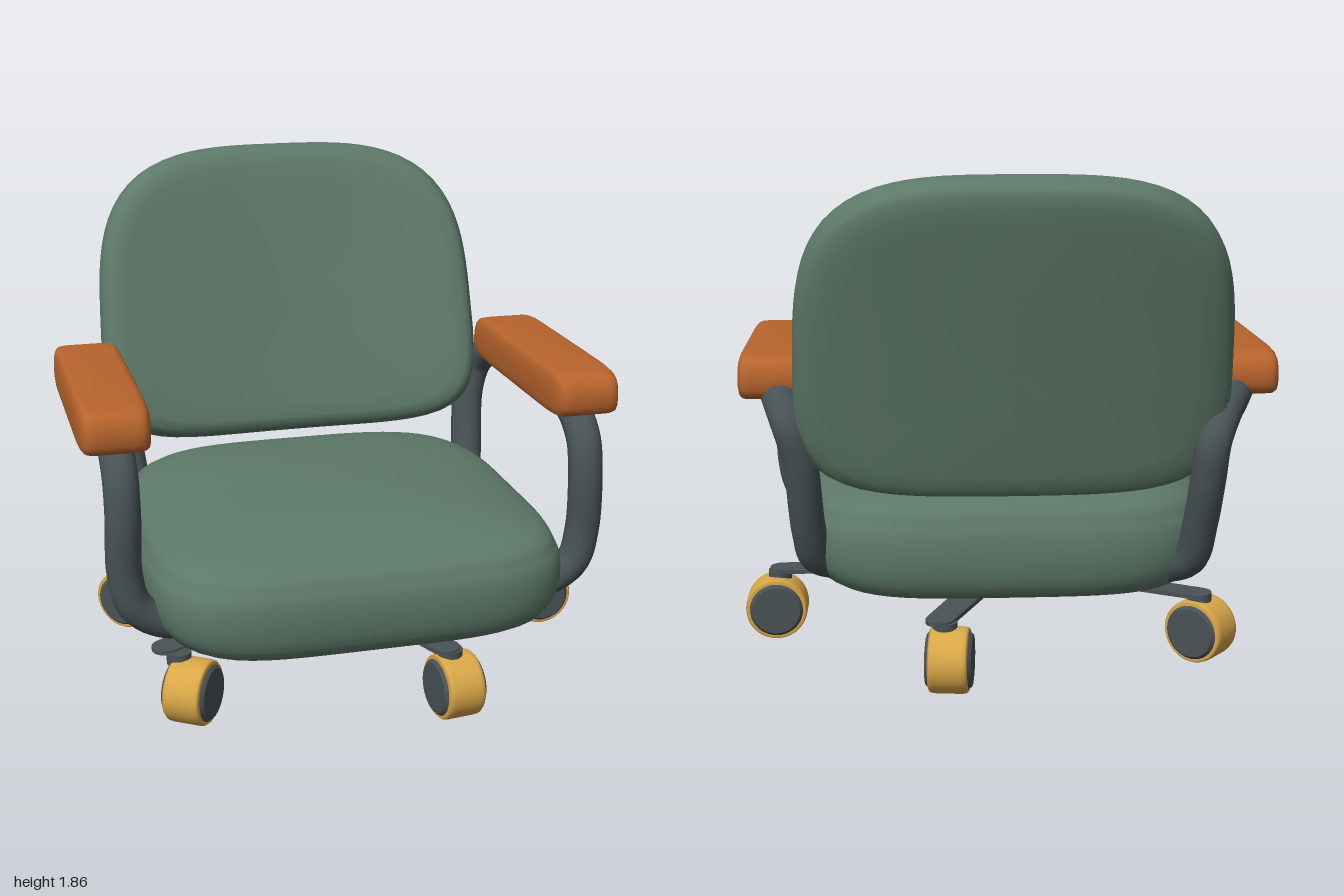
import * as THREE from 'three';

const mat = (name, color) => {
  const m = new THREE.MeshStandardMaterial({ color });
  m.name = name;
  return m;
};

// Superellipse outline with separate shapes for its + and - halves
function outline(t, a, bPlus, bMinus, nPlus, nMinus) {
  const c = Math.cos(t), s = Math.sin(t);
  const n = s >= 0 ? nPlus : nMinus, b = s >= 0 ? bPlus : bMinus;
  const r = Math.pow(Math.pow(Math.abs(c), n) + Math.pow(Math.abs(s), n), -1 / n);
  return [a * r * c, b * r * s];
}

// Cushion: scaled copies of an outline stacked along a profile of [scale, level]
function cushion(profile, edge, place) {
  const N = 96, pos = [], idx = [];
  profile.forEach(([f, w], l) => {
    for (let i = 0; i < N; i++) {
      const [u, v] = edge((i / N) * Math.PI * 2);
      pos.push(...place(u * f, v * f, w));
      if (l === 0) continue;
      const a = (l - 1) * N + i, b = (l - 1) * N + ((i + 1) % N);
      idx.push(a, a + N, b + N, a, b + N, b);
    }
  });
  const g = new THREE.BufferGeometry();
  g.setAttribute('position', new THREE.Float32BufferAttribute(pos, 3));
  g.setIndex(idx);
  g.computeVertexNormals();
  return g;
}

export function createModel() {
  const green = mat('green upholstery', 0x5d7969);
  const grey = mat('dark grey metal', 0x485255);
  const orange = mat('orange armrest', 0xb7642c);
  const yellow = mat('yellow caster', 0xd9a748);

  const model = new THREE.Group();
  model.name = 'officeChair';
  const chair = new THREE.Group();
  chair.name = 'chairBody';
  chair.position.x = -0.013;
  model.add(chair);

  const add = (parent, name, geometry, material, x = 0, y = 0, z = 0) => {
    const m = new THREE.Mesh(geometry, material);
    m.name = name;
    m.position.set(x, y, z);
    parent.add(m);
    return m;
  };

  // Seat cushion, with small grooves along the seams
  const seatProfile = [
    [0, 0.31], [0.6, 0.31], [0.85, 0.312], [0.91, 0.318], [0.945, 0.335], [0.958, 0.355],
    [0.975, 0.372], [0.99, 0.41], [1, 0.46], [1, 0.51], [0.993, 0.55], [0.98, 0.575],
    [0.968, 0.585], [0.965, 0.6], [0.945, 0.625], [0.9, 0.647], [0.79, 0.673],
    [0.6, 0.698], [0.38, 0.715], [0.2, 0.722], [0, 0.724],
  ];
  add(chair, 'seatCushion', cushion(
    seatProfile,
    (t) => outline(t, 0.77, 0.725, 0.725, 4.6, 3.8),
    (x, z, y) => {
      // The underside lifts at the sides and the top lifts towards the back
      const sideLift = 0.04 * (x / 0.77) ** 6 * (1 - THREE.MathUtils.smoothstep(y, 0.3, 0.46));
      const backLift = 0.06 * Math.min(0, z) ** 2 * THREE.MathUtils.smoothstep(y, 0.5, 0.66);
      return [x, y + sideLift + backLift, z + 0.145];
    },
  ), green);

  // Tilted backrest, thinner at the top and wrapping forward at the sides
  const backProfile = [
    [0, 0.96], [0.4, 0.98], [0.75, 0.99], [0.87, 0.96], [0.93, 0.87], [0.965, 0.7],
    [0.972, 0.55], [0.985, 0.45], [1, 0.2], [1, -0.2], [0.988, -0.5], [0.972, -0.58],
    [0.967, -0.72], [0.94, -0.87], [0.88, -0.96], [0.78, -1], [0.4, -1], [0, -1],
  ];
  add(chair, 'backrest', cushion(
    backProfile,
    (t) => outline(t, 0.775, 0.658, 0.475, 3.4, 4.6),
    (x, v, w) => {
      const y = v + 1.195;
      const half = 0.127 - 0.03 * (y - 0.8);
      const bend = 0.09 * Math.abs(x / 0.77) ** 2.4;
      const taper = 1 - 0.045 * Math.max(0, y - 1.1);
      return [x * taper, y + w * half * 0.22, -0.508 - 0.283 * (y - 0.8) + bend + w * half];
    },
  ), green);

  // Armrest pad with sloping, rounded ends
  const padProfile = [
    [0, 1.027], [0.84, 1.027], [0.93, 1.032], [0.975, 1.045], [0.995, 1.068], [1, 1.1],
    [0.993, 1.13], [0.97, 1.155], [0.93, 1.173], [0.86, 1.184], [0.72, 1.19], [0, 1.194],
  ];
  const pad = cushion(
    padProfile,
    (t) => outline(t, 0.128, 0.49, 0.49, 9, 9),
    (x, z, y) => [x, y, z],
  );

  // Bent tube arms; the rear legs differ slightly on each side
  const frontLeg = [
    [0.56, 0.385, 0.53], [0.72, 0.4, 0.55], [0.82, 0.47, 0.56], [0.853, 0.59, 0.56],
    [0.853, 0.82, 0.567], [0.853, 0.94, 0.535], [0.853, 1.02, 0.43], [0.853, 1.042, 0.28],
    [0.853, 1.042, -0.22],
  ];
  const rearLegs = {
    left: [[0.83, 1.03, -0.38], [0.795, 0.96, -0.47], [0.76, 0.84, -0.475],
      [0.735, 0.55, -0.41], [0.71, 0.44, -0.36], [0.6, 0.39, -0.28]],
    right: [[0.81, 1.03, -0.38], [0.75, 0.99, -0.52], [0.7, 0.91, -0.612],
      [0.685, 0.78, -0.605], [0.67, 0.6, -0.55], [0.645, 0.45, -0.49], [0.56, 0.39, -0.4]],
  };
  for (const [side, s] of [['left', 1], ['right', -1]]) {
    const pts = [...frontLeg, ...rearLegs[side]].map(([x, y, z]) => new THREE.Vector3(s * x, y, z));
    const path = new THREE.CatmullRomCurve3(pts, false, 'centripetal');
    add(chair, side + 'ArmTube', new THREE.TubeGeometry(path, 120, 0.063, 20), grey);
    for (const p of [pts[0], pts[pts.length - 1]])
      add(chair, side + 'TubeEnd', new THREE.SphereGeometry(0.063, 20, 12), grey, p.x, p.y, p.z);
    add(chair, side + 'Armrest', pad, orange, s * 0.86, 0, 0.088);
  }

  // Hub under the seat
  const hubX = -0.015, hubZ = 0.075;
  const disc = (name, r, y0, y1, material, z = hubZ) => add(model, name,
    new THREE.CylinderGeometry(r, r, y1 - y0, 40), material, hubX, (y0 + y1) / 2, z);
  disc('mountingPlate', 0.175, 0.295, 0.315, grey, 0.03);
  disc('hubCollar', 0.085, 0.27, 0.296, yellow);
  disc('hubCentre', 0.11, 0.25, 0.272, grey);
  disc('hubStub', 0.055, 0.222, 0.252, grey);

  // Casters: [x, z, axle direction x, axle direction z]
  const casters = [
    [0.88, 0.05, 0, 1],
    [0.285, 0.76, 0.99, -0.13],
    [-0.64, 0.57, 0.83, 0.56],
    [-0.735, -0.32, 0.64, -0.77],
    [0.22, -0.61, 0.99, 0.13],
  ];
  // Wheel profile: tread with rounded shoulders
  const tread = new THREE.LatheGeometry([
    [0, -0.071], [0.111, -0.071], [0.118, -0.063], [0.12, -0.048],
    [0.12, 0.048], [0.118, 0.063], [0.111, 0.071], [0, 0.071],
  ].map(([r, y]) => new THREE.Vector2(r, y)), 40);
  const cap = new THREE.CylinderGeometry(0.092, 0.103, 0.012, 40);
  casters.forEach(([x, z, ax, az], i) => {
    // Spoke: flat strip with a rounded tip
    const a = (i / 5) * Math.PI * 2;
    const tipX = hubX + 0.87 * Math.cos(a), tipZ = hubZ + 0.7 * Math.sin(a);
    const len = Math.hypot(tipX - hubX, tipZ - hubZ);
    const shape = new THREE.Shape();
    shape.moveTo(0, -0.06);
    shape.lineTo(len, -0.052);
    shape.absarc(len, 0, 0.052, -Math.PI / 2, Math.PI / 2, false);
    shape.lineTo(0, 0.06);
    const strip = new THREE.ExtrudeGeometry(shape, { depth: 0.016, bevelEnabled: false, curveSegments: 12 });
    strip.rotateX(-Math.PI / 2);
    const spoke = add(model, 'baseSpoke', strip, grey, hubX, 0.254, hubZ);
    spoke.rotation.y = -Math.atan2(tipZ - hubZ, tipX - hubX);

    // Caster wheel on its swivel pin
    const caster = new THREE.Group();
    caster.name = 'caster';
    caster.position.set(x, 0.122, z);
    caster.quaternion.setFromUnitVectors(new THREE.Vector3(0, 1, 0), new THREE.Vector3(ax, 0, az).normalize());
    model.add(caster);
    add(caster, 'casterTread', tread, yellow);
    add(caster, 'casterCap', cap, grey, 0, 0.077, 0);
    add(caster, 'casterCap', cap, grey, 0, -0.077, 0).rotation.x = Math.PI;
    add(model, 'casterPin', new THREE.CylinderGeometry(0.045, 0.045, 0.045, 24), grey,
      (x + tipX) / 2, 0.24, (z + tipZ) / 2);
  });

  return model;
}
